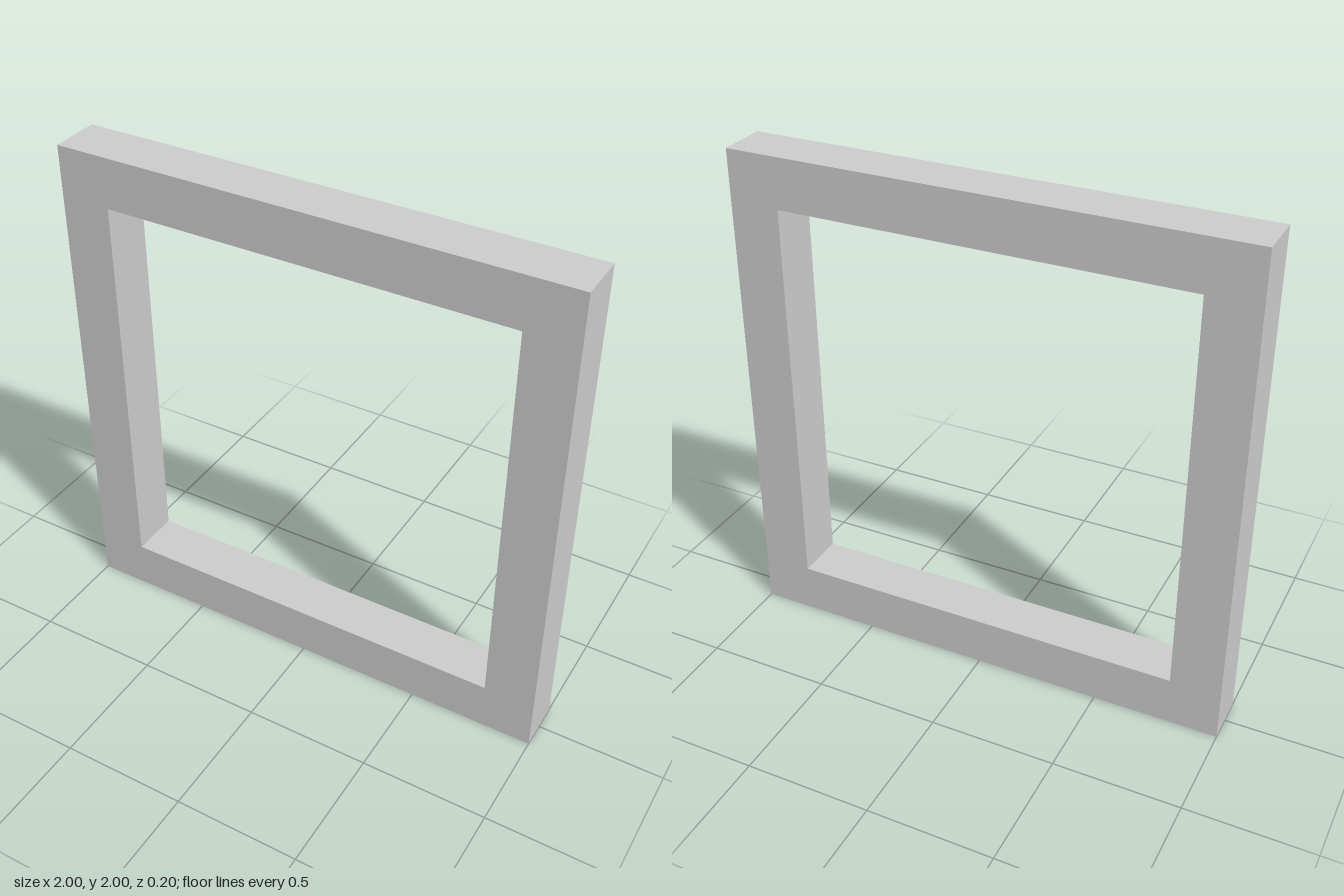
import * as THREE from 'three';

const SIZE = 2;    // outer width and height
const BAR = 0.2;   // bar width and depth

// Square outline centred on the origin
function squarePoints(size) {
  const h = size / 2;
  return [[-h, -h], [h, -h], [h, h], [-h, h]].map(([x, y]) => new THREE.Vector2(x, y));
}

export function createModel() {
  const group = new THREE.Group();
  group.name = 'squareFrame';

  // One-piece frame: a square with a square opening, extruded through its depth
  const outline = new THREE.Shape(squarePoints(SIZE));
  outline.holes.push(new THREE.Path(squarePoints(SIZE - 2 * BAR).reverse()));
  const geometry = new THREE.ExtrudeGeometry(outline, { depth: BAR, bevelEnabled: false });
  geometry.translate(0, SIZE / 2, -BAR / 2);

  const material = new THREE.MeshStandardMaterial({ color: 0xcccccc, flatShading: true });
  const frame = new THREE.Mesh(geometry, material);
  frame.name = 'frame';
  group.add(frame);
  return group;
}
